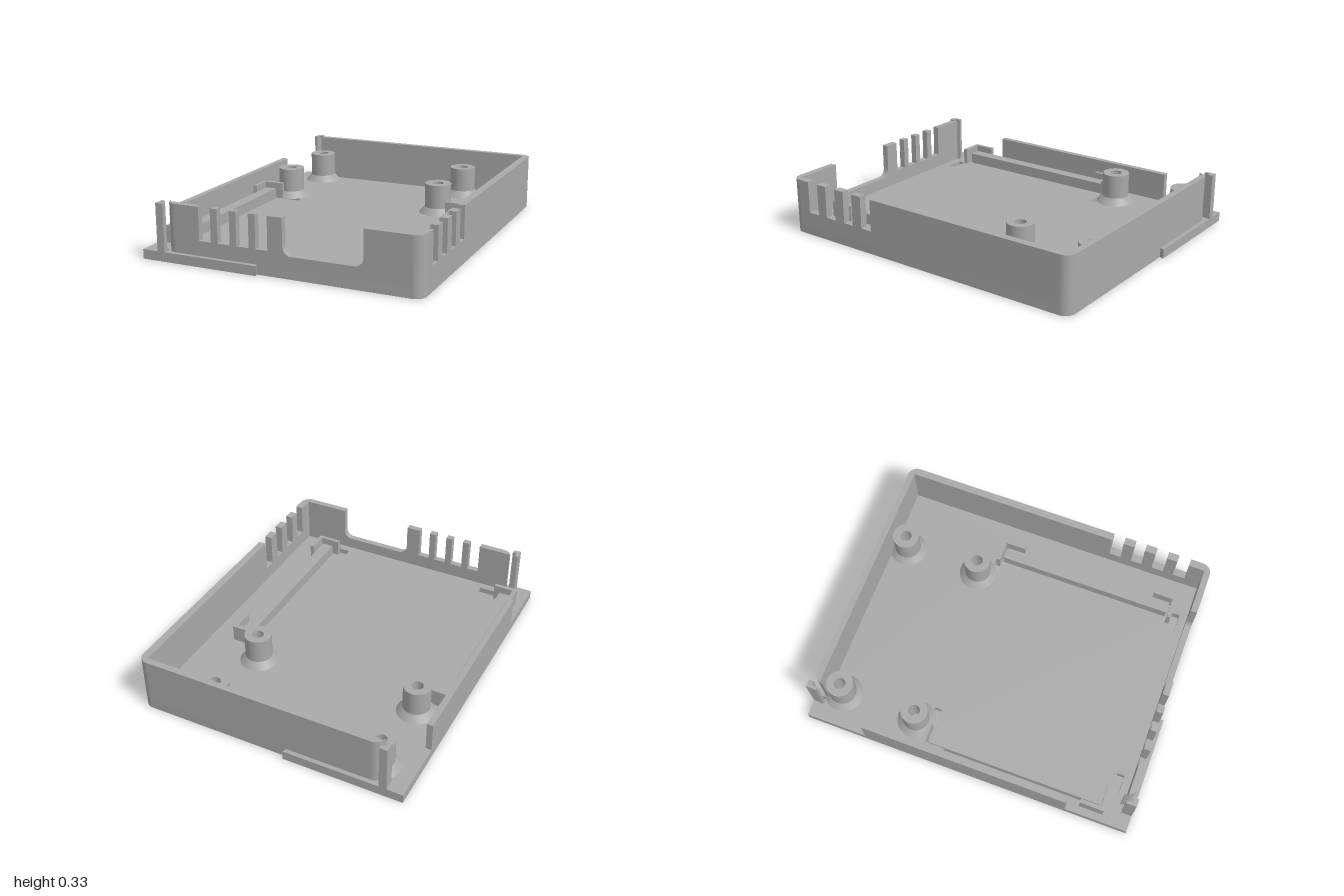
import * as THREE from 'three';
import { toCreasedNormals } from 'three/addons/utils/BufferGeometryUtils.js';

const FLOOR = 0.055, TOP = 0.33;   // floor thickness, wall height
const RIGHT = 0.815, LEFT = -0.82; // outer x limits
const SIDE = 0.975, INNER = 0.937; // outer and inner z of front and back walls
const R = 0.06;                    // outer corner radius

export function createModel() {
  const grey = new THREE.MeshStandardMaterial({ color: 0xa9a9a9 });
  grey.name = 'grey plastic';
  const model = new THREE.Group();
  model.name = 'enclosureBase';

  const add = (name, geometry) => {
    const mesh = new THREE.Mesh(geometry, grey);
    mesh.name = name;
    model.add(mesh);
    return mesh;
  };
  const extrude = (shape, depth) => toCreasedNormals(
    new THREE.ExtrudeGeometry(shape, { depth, bevelEnabled: false, curveSegments: 10 }), 0.5);
  // plan outline (x, z) raised from y0 to y1
  const slab = (name, shape, y0, y1) =>
    add(name, extrude(shape, y1 - y0).rotateX(Math.PI / 2).translate(0, y1, 0));
  const poly = (pts) => new THREE.Shape(pts.map(([x, y]) => new THREE.Vector2(x, y)));
  const rect = (x0, x1, z0, z1) => poly([[x0, z0], [x1, z0], [x1, z1], [x0, z1]]);

  // Floor with rounded right corners, side flanges and clip openings
  const floor = new THREE.Shape();
  floor.moveTo(LEFT, -1);
  floor.lineTo(-0.11, -1);
  floor.lineTo(-0.12, -SIDE);
  floor.lineTo(RIGHT - R, -SIDE);
  floor.absarc(RIGHT - R, -SIDE + R, R, -Math.PI / 2, 0, false);
  floor.lineTo(RIGHT, SIDE - R);
  floor.absarc(RIGHT - R, SIDE - R, R, 0, Math.PI / 2, false);
  floor.lineTo(-0.12, SIDE);
  floor.lineTo(-0.11, 1);
  floor.lineTo(LEFT, 1);
  for (const x of [-0.635, 0.44])
    for (const z of [-0.305, 0.845]) floor.holes.push(rect(x, x + 0.122, z, z + 0.044));
  for (const z of [-0.97, 0.942]) floor.holes.push(rect(-0.706, -0.684, z, z + 0.028));
  slab('floor', floor, 0, FLOOR);

  // Outline of a wall with narrow slots cut down from its top edge
  const slotted = (shape, slots) => slots.forEach(([a, b]) => {
    shape.lineTo(a, TOP);
    shape.lineTo(a, 0.14);
    shape.lineTo(b, 0.14);
    shape.lineTo(b, TOP);
  });

  // Front wall: four vent slots and a wide rounded cutout
  const front = new THREE.Shape();
  const x0 = -0.68 + R, x1 = RIGHT - R, r = 0.05, low = 0.125;
  front.moveTo(x0, FLOOR);
  front.lineTo(x0, TOP);
  slotted(front, [[-0.47, -0.397], [-0.355, -0.28], [-0.24, -0.165], [-0.125, -0.053]]);
  front.lineTo(0.035, TOP);
  front.lineTo(0.035, low + r);
  front.absarc(0.035 + r, low + r, r, Math.PI, Math.PI * 1.5, false);
  front.lineTo(0.495 - r, low);
  front.absarc(0.495 - r, low + r, r, Math.PI * 1.5, Math.PI * 2, false);
  front.lineTo(0.495, TOP);
  front.lineTo(x1, TOP);
  front.lineTo(x1, FLOOR);
  add('frontWall', extrude(front, SIDE - INNER).translate(0, 0, INNER));

  // Back wall
  slab('backWall', rect(x0, x1, -SIDE, -INNER), FLOOR, TOP);

  // Right wall: four vent slots toward the front (outline drawn along z)
  const side = new THREE.Shape();
  side.moveTo(-SIDE + R, FLOOR);
  side.lineTo(-SIDE + R, TOP);
  slotted(side, [[0.355, 0.428], [0.495, 0.563], [0.63, 0.703], [0.768, 0.842]]);
  side.lineTo(SIDE - R, TOP);
  side.lineTo(SIDE - R, FLOOR);
  add('sideWall', extrude(side, 0.045).rotateY(-Math.PI / 2).translate(RIGHT, 0, 0));

  // Low wall on the open side
  slab('lowWall', rect(LEFT, -0.785, -0.63, 0.625), FLOOR, 0.23);

  for (const s of [-1, 1]) {
    // Rounded corner joining the walls
    const corner = new THREE.Shape();
    corner.moveTo(RIGHT, s * (SIDE - R));
    corner.absarc(RIGHT - R, s * (SIDE - R), R, 0, s * Math.PI / 2, s < 0);
    corner.lineTo(RIGHT - R, s * INNER);
    corner.lineTo(0.77, s * INNER);
    corner.lineTo(0.77, s * (SIDE - R));
    slab('wallCorner', corner, FLOOR, TOP);

    // Rounded free end of the wall
    const end = new THREE.Shape();
    end.moveTo(x0, s * INNER);
    end.lineTo(x0, s * SIDE);
    end.absarc(x0, s * (SIDE - R), R, s * Math.PI / 2, s * Math.PI, s < 0);
    end.lineTo(-0.675, s * INNER);
    slab('wallEnd', end, FLOOR, TOP);

    // L-shaped post beside the free end
    slab('cornerPost', poly([[-0.725, 1], [-0.68, 1], [-0.68, 0.972], [-0.706, 0.972],
      [-0.706, INNER], [-0.725, INNER]].map(([x, z]) => [x, s * z])), FLOOR, TOP);
  }

  // Screw standoffs with flared feet
  const profile = [[0.115, FLOOR], [0.08, 0.095], [0.08, 0.24], [0.034, 0.24], [0.034, FLOOR]]
    .map(([a, b]) => new THREE.Vector2(a, b));
  const standoff = toCreasedNormals(new THREE.LatheGeometry(profile, 40), 0.5);
  for (const x of [-0.62, 0.397])
    for (const z of [-0.85, -0.38]) add('standoff', standoff).position.set(x, 0, z);

  // Support rails
  for (const x of [-0.74, 0.523]) slab('rail', rect(x, x + 0.07, -0.255, 0.805), FLOOR, 0.12);

  // L-shaped corner brackets around the rails
  const t = 0.024, len = 0.145;
  for (const [x, sx] of [[-0.775, 1], [0.63, -1]])
    for (const [z, sz] of [[-0.29, 1], [0.84, -1]]) {
      slab('bracket', poly([[0, 0], [len, 0], [len, t], [t, t], [t, len], [0, len]]
        .map(([a, b]) => [x + sx * a, z + sz * b])), FLOOR, 0.155);
    }

  return model;
}
